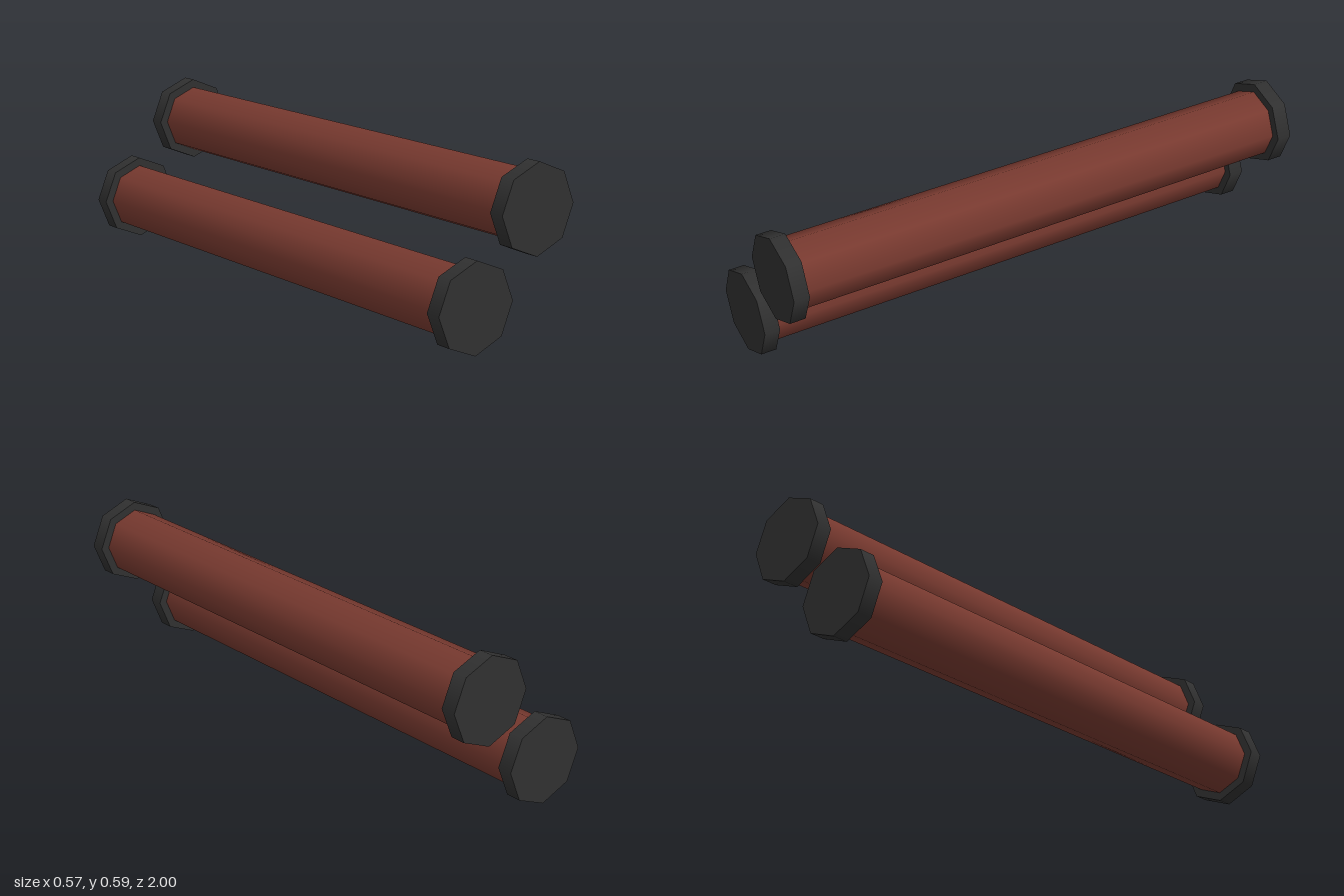
import * as THREE from 'three';

const SIDES = 8;
const CAP_RADIUS = 0.155, CAP_DEPTH = 0.056, TUBE_RADIUS = 0.124;

export function createModel() {
  const model = new THREE.Group();
  const red = new THREE.MeshStandardMaterial({ color: 0x77392f });
  red.name = 'brownish red';
  const black = new THREE.MeshStandardMaterial({ color: 0x303030 });
  black.name = 'charcoal';

  // Eight-sided, smooth-shaded geometries lying along z
  const tubeGeometry = new THREE.CylinderGeometry(TUBE_RADIUS, TUBE_RADIUS, 2 - 2 * CAP_DEPTH, SIDES, 1, true);
  const capGeometry = new THREE.CylinderGeometry(CAP_RADIUS, CAP_RADIUS, CAP_DEPTH, SIDES);
  for (const geometry of [tubeGeometry, capGeometry]) geometry.rotateX(Math.PI / 2);

  // One red tube with a dark cap at each end
  function addRod(name, x, y) {
    const rod = new THREE.Group();
    rod.name = name;
    const tube = new THREE.Mesh(tubeGeometry, red);
    tube.name = 'tube';
    rod.add(tube);
    for (const side of [1, -1]) {
      const cap = new THREE.Mesh(capGeometry, black);
      cap.name = side > 0 ? 'frontCap' : 'backCap';
      cap.position.z = side * (1 - CAP_DEPTH / 2);
      rod.add(cap);
    }
    rod.position.set(x, y, 0);
    model.add(rod);
  }

  addRod('lowerRod', -0.128, 0.155);
  addRod('upperRod', 0.128, 0.436);
  return model;
}
